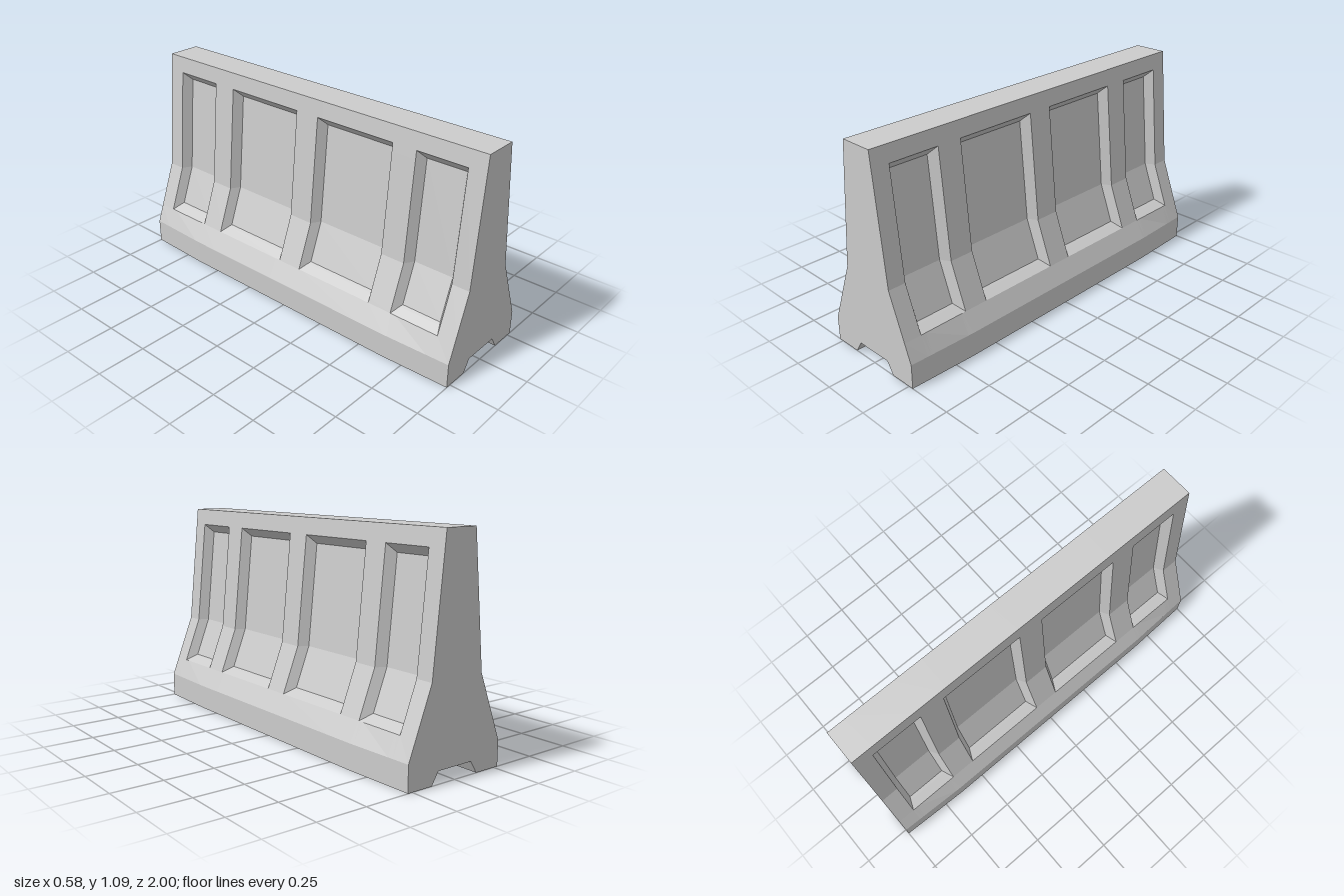
import * as THREE from 'three';

// Base half-width of the wall by height
const PROFILE = [[0, 0.275], [0.125, 0.275], [0.45, 0.15], [1.085, 0.087]];
// Recess depth at each bevel step, and how far each step lies inside the panel edge
const DEPTH = [0, 0.036, 0.048];
const INSET = [0, 0.021, 0.028];
// Rows up one side: [height, bevel step]
const ROWS = [[0, 0], [0.125, 0], [0.22, 0], [0.243, 1], [0.25, 2], [0.45, 2],
  [0.957, 2], [0.968, 1], [1.0, 0], [1.085, 0]];
// Panels along the length
const PANELS = [[-0.908, -0.643], [-0.513, -0.067], [0.067, 0.513], [0.643, 0.908]];

function halfWidth(y, z) {
  let i = 0;
  while (i < PROFILE.length - 2 && y > PROFILE[i + 1][0]) i++;
  const [y0, x0] = PROFILE[i], [y1, x1] = PROFILE[i + 1];
  const base = x0 + (x1 - x0) * (y - y0) / (y1 - y0);
  // The foot swells slightly away from the ends
  const swell = 0.013 * Math.min(1, (1 - Math.abs(z)) / 0.357);
  return base + swell * THREE.MathUtils.clamp((0.22 - y) / 0.095, 0, 1);
}

// Closed cross-section, counter-clockwise seen from the front
function section(z, step) {
  const right = ROWS.map(([y, rowStep]) => {
    const level = Math.min(step, rowStep);
    return { x: halfWidth(y, z) - DEPTH[level], y, z, level };
  });
  const left = right.map(p => ({ ...p, x: -p.x })).reverse();
  // Drainage channel under the wall
  const channel = [[-0.137, 0], [-0.1, 0.06], [0.1, 0.06], [0.137, 0]]
    .map(([x, y]) => ({ x, y, z, level: 0 }));
  return [...right, ...left, ...channel];
}

export function createModel() {
  const group = new THREE.Group();
  group.name = 'concreteBarrier';
  const material = new THREE.MeshStandardMaterial({ color: 0xcccccc, flatShading: true });

  // Columns along the length: [z, bevel step]
  const columns = [[-1, 0]];
  for (const [a, b] of PANELS) {
    INSET.forEach((d, k) => columns.push([a + d, k]));
    for (let k = 2; k >= 0; k--) columns.push([b - INSET[k], k]);
  }
  columns.push([1, 0]);
  const sections = columns.map(([z, step]) => section(z, step));

  // Walls, top and underside, with panel corners mitred
  const positions = [];
  const tri = (...pts) => pts.forEach(p => positions.push(p.x, p.y, p.z));
  for (let j = 0; j < sections.length - 1; j++) {
    const s = sections[j], t = sections[j + 1];
    for (let i = 0; i < s.length; i++) {
      const n = (i + 1) % s.length;
      const a = s[i], b = s[n], c = t[n], d = t[i];
      if (Math.abs(a.level - c.level) >= Math.abs(b.level - d.level)) {
        tri(a, b, c);
        tri(a, c, d);
      } else {
        tri(a, b, d);
        tri(b, c, d);
      }
    }
  }
  const bodyGeometry = new THREE.BufferGeometry();
  bodyGeometry.setAttribute('position', new THREE.Float32BufferAttribute(positions, 3));
  bodyGeometry.computeVertexNormals();
  const body = new THREE.Mesh(bodyGeometry, material);
  body.name = 'panelledBody';
  group.add(body);

  // Flat end faces
  const outline = new THREE.Shape(section(1, 0).map(p => new THREE.Vector2(p.x, p.y)));
  for (const [name, side] of [['frontEnd', 1], ['backEnd', -1]]) {
    const end = new THREE.Mesh(new THREE.ShapeGeometry(outline), material);
    end.name = name;
    end.position.z = side;
    if (side < 0) end.rotation.y = Math.PI;
    group.add(end);
  }
  return group;
}
